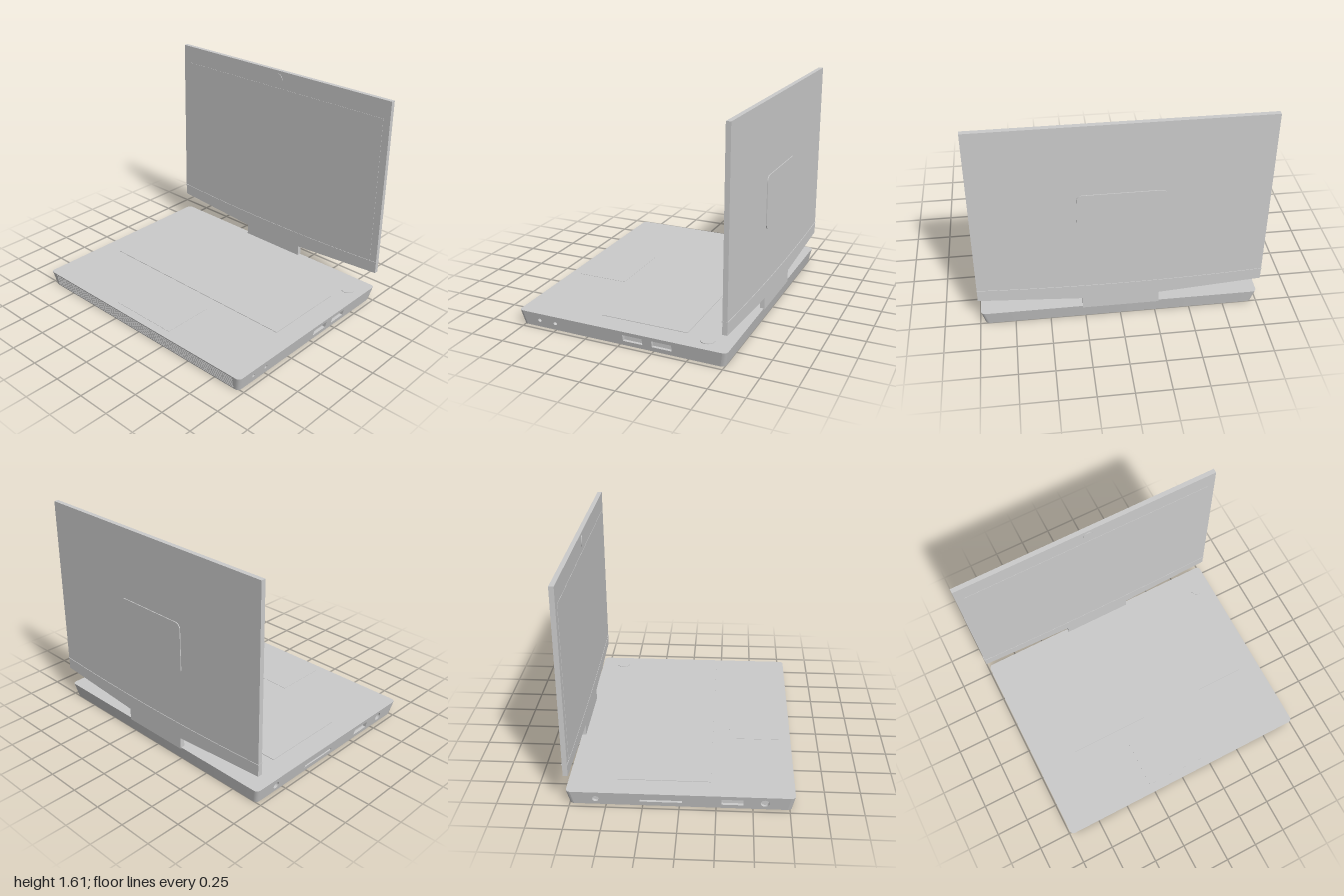
import * as THREE from 'three';
import { toCreasedNormals } from 'three/addons/utils/BufferGeometryUtils.js';

const grey = new THREE.MeshStandardMaterial({ color: 0xcccccc });
const greyDouble = new THREE.MeshStandardMaterial({ color: 0xcccccc, side: THREE.DoubleSide });
const H = 0.11;        // base height
const R = 0.03;        // base corner radius
const V = (x, y) => new THREE.Vector2(x, y);

function add(parent, name, geometry, material = grey) {
  const mesh = new THREE.Mesh(geometry, material);
  mesh.name = name;
  parent.add(mesh);
  return mesh;
}

// Sloping base walls as a function of height
const wallX = (y) => 0.965 + 0.025 * y / H;
const frontZ = (y) => 0.765 + 0.02 * y / H;
const backZ = (y) => -0.752 - 0.021 * y / H;

// Outline of the base at one height, with an optional groove along the front
function baseOutline(y, groove) {
  const x = wallX(y) - R, f = frontZ(y) - R, b = backZ(y) + R;
  const pts = [];
  const corner = (cx, cz, quarter) => {
    for (let i = 0; i <= 4; i++) {
      const a = (quarter + i / 4) * Math.PI / 2;
      pts.push(V(cx + R * Math.cos(a), cz + R * Math.sin(a)));
    }
  };
  corner(x, f, 0);
  for (const [px, d] of [[0.925, 0], [0.925, groove], [-0.925, groove], [-0.925, 0]]) pts.push(V(px, f + R - d));
  corner(-x, f, 1);
  corner(-x, b, 2);
  corner(x, b, 3);
  return pts;
}

// Base shell: stacked outlines, leaving the flat side walls open for the port panels
function baseShell() {
  const levels = [[0, 0]];
  for (let i = 0; i < 7; i++) {
    const y = 0.012 + i * 0.0132;
    levels.push([y, 0], [y, 0.012], [y + 0.005, 0.012], [y + 0.005, 0]);
  }
  levels.push([H, 0]);
  const pos = [], index = [];
  let n = 0;
  levels.forEach(([y, g], k) => {
    const pts = baseOutline(y, g);
    n = pts.length;
    pts.forEach((p) => pos.push(p.x, y, p.y));
    if (k === 0) return;
    for (let i = 0; i < n - 1; i++) {
      if (i === 13) continue;
      const a = (k - 1) * n + i, d = k * n + i;
      index.push(a, d, d + 1, a, d + 1, a + 1);
    }
  });
  const geo = new THREE.BufferGeometry();
  geo.setAttribute('position', new THREE.Float32BufferAttribute(pos, 3));
  geo.setIndex(index);
  return toCreasedNormals(geo, 0.6);
}

// Port outline: round when no height is given
function portOutline([z, y, w, h], s) {
  const u = -s * z;
  if (h) return [V(u - w / 2, y - h / 2), V(u + w / 2, y - h / 2), V(u + w / 2, y + h / 2), V(u - w / 2, y + h / 2)];
  return Array.from({ length: 20 }, (_, i) => V(u + w * Math.cos(i * Math.PI / 10), y + w * Math.sin(i * Math.PI / 10)));
}

// Bend a flat (u, y) shape onto the side s at distance x(y)
function ontoSide(geo, s, xOf) {
  const p = geo.attributes.position;
  for (let i = 0; i < p.count; i++) {
    const u = p.getX(i), y = p.getY(i);
    p.setXYZ(i, s * xOf(y), y, -s * u);
  }
  geo.computeVertexNormals();
  return geo;
}

function sidePanel(s, ports) {
  const group = new THREE.Group();
  group.name = s > 0 ? 'leftSide' : 'rightSide';
  const corner = (front, y) => V(-s * (front ? frontZ(y) - R : backZ(y) + R), y);
  const panel = new THREE.Shape([corner(true, 0), corner(false, 0), corner(false, H), corner(true, H)]);
  for (const port of ports) {
    const pts = portOutline(port, s);
    panel.holes.push(new THREE.Path(pts));
    // Pocket walls and floor
    const pos = [], index = [];
    [...pts, pts[0]].forEach((p, i) => {
      pos.push(s * wallX(p.y), p.y, -s * p.x, s * 0.95, p.y, -s * p.x);
      if (i) index.push(2 * i - 2, 2 * i - 1, 2 * i + 1, 2 * i - 2, 2 * i + 1, 2 * i);
    });
    const walls = new THREE.BufferGeometry();
    walls.setAttribute('position', new THREE.Float32BufferAttribute(pos, 3));
    walls.setIndex(index);
    add(group, 'portWalls', toCreasedNormals(walls, 0.6), greyDouble);
    add(group, 'portFloor', ontoSide(new THREE.ShapeGeometry(new THREE.Shape(pts)), s, () => 0.95));
  }
  add(group, 'sideWall', ontoSide(new THREE.ShapeGeometry(panel), s, wallX));
  return group;
}

function roundedRect(w, h, r) {
  const s = new THREE.Shape(), x = w / 2 - r, y = h / 2 - r;
  s.absarc(x, y, r, 0, Math.PI / 2);
  s.absarc(-x, y, r, Math.PI / 2, Math.PI);
  s.absarc(-x, -y, r, Math.PI, 1.5 * Math.PI);
  s.absarc(x, -y, r, 1.5 * Math.PI, 2 * Math.PI);
  return s;
}

// Extrude a front-facing shape between two depths
function slab(shape, z0, z1) {
  const geo = new THREE.ExtrudeGeometry(shape, { depth: z1 - z0, bevelEnabled: false, curveSegments: 6 });
  return geo.translate(0, 0, z0);
}

// Gently bowed line across the lower part of the lid
const bow = (half, lift) => Array.from({ length: 17 }, (_, i) => {
  const x = half * (i / 8 - 1);
  return V(x, 0.305 + 0.03 * x * x + lift);
});

function createBase() {
  const base = new THREE.Group();
  base.name = 'base';
  add(base, 'baseShell', baseShell());
  const top = new THREE.Shape(baseOutline(H, 0).map((p) => V(p.x, -p.y)));
  add(base, 'topDeck', new THREE.ShapeGeometry(top).rotateX(-Math.PI / 2).translate(0, H, 0));
  add(base, 'underside', new THREE.ShapeGeometry(new THREE.Shape(baseOutline(0, 0))).rotateX(Math.PI / 2));

  // Keyboard, touchpad and power button sit just proud of the deck
  add(base, 'keyboard', new THREE.BoxGeometry(1.66, 0.006, 0.645)).position.set(0, H + 0.001, -0.113);
  add(base, 'touchpad', new THREE.BoxGeometry(0.54, 0.006, 0.39)).position.set(0, H - 0.001, 0.525);
  add(base, 'powerButton', new THREE.CylinderGeometry(0.05, 0.05, 0.008, 32)).position.set(0.87, H, -0.595);

  base.add(sidePanel(1, [[0.625, 0.055, 0.014], [0.5, 0.055, 0.014],
    [-0.098, 0.058, 0.145, 0.048], [-0.312, 0.058, 0.145, 0.048]]));
  base.add(sidePanel(-1, [[0.58, 0.055, 0.03], [0.36, 0.055, 0.15, 0.048],
    [-0.125, 0.045, 0.29, 0.018], [-0.57, 0.05, 0.025]]));
  return base;
}

function createLid() {
  const lid = new THREE.Group();
  lid.name = 'lid';
  // Panel with a central hinge tab
  const half = [V(0.27, 0.1), V(0.27, 0.19), V(1, 0.245), V(1, 1.613)];
  const mirrored = half.map((p) => V(-p.x, p.y)).reverse();
  add(lid, 'lidPanel', slab(new THREE.Shape([...half, ...mirrored]), -0.778, -0.744));

  const screen = [...bow(0.945, 0.004), V(0.945, 1.475), V(-0.945, 1.475)];
  add(lid, 'screen', slab(new THREE.Shape(screen), -0.746, -0.742));

  // Thin trim line wrapping front and back
  const trim = [...bow(1.002, -0.003), ...bow(1.002, 0.003).reverse()];
  add(lid, 'trimLine', slab(new THREE.Shape(trim), -0.782, -0.74));

  add(lid, 'camera', new THREE.CylinderGeometry(0.04, 0.04, 0.008, 32).rotateX(Math.PI / 2)).position.set(0, 1.55, -0.744);
  add(lid, 'rearPlate', slab(roundedRect(0.6, 0.38, 0.04), -0.784, -0.776)).position.y = 0.9;
  return lid;
}

export function createModel() {
  const model = new THREE.Group();
  model.name = 'laptop';
  model.add(createBase(), createLid());
  return model;
}
